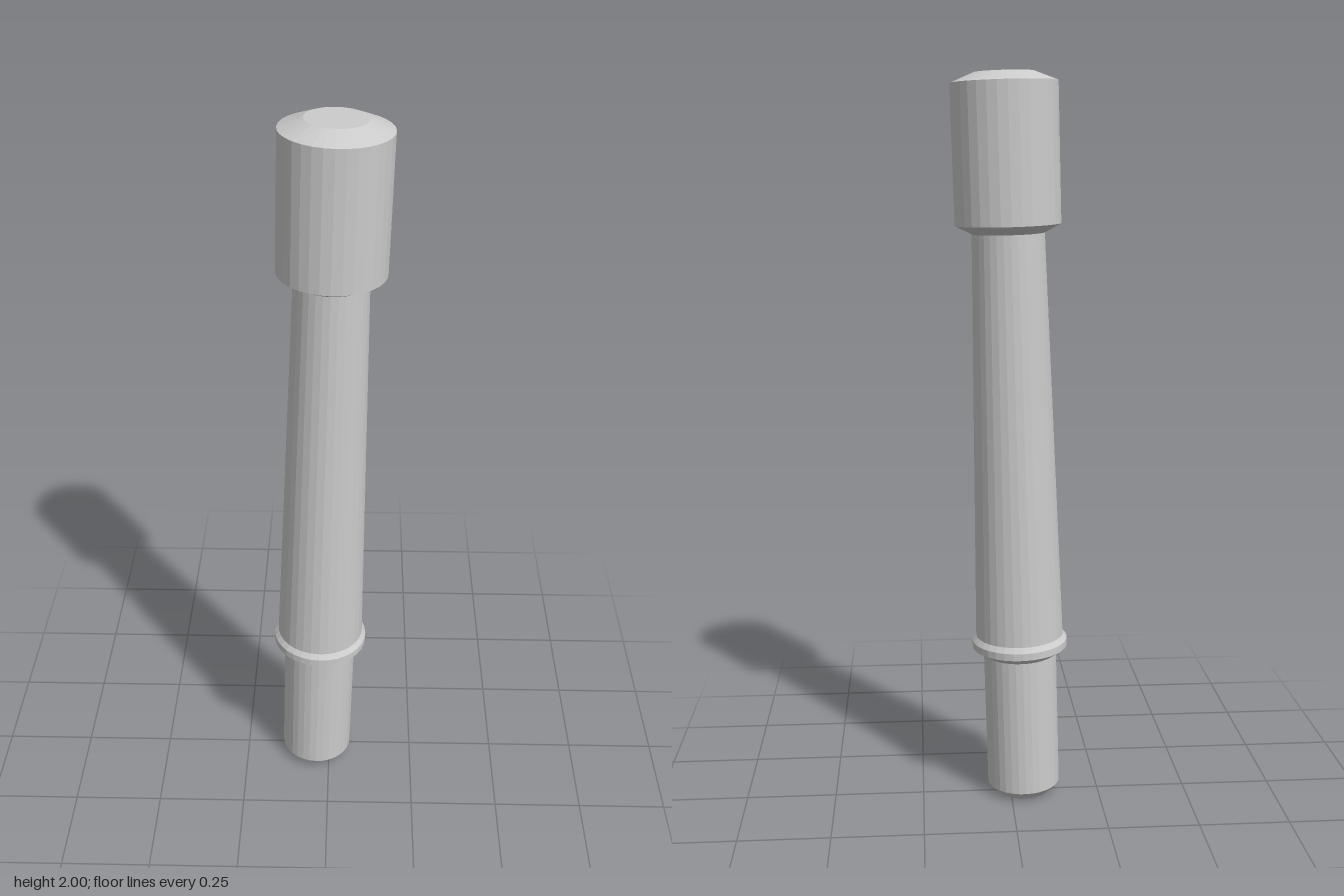
import * as THREE from 'three';

const material = new THREE.MeshStandardMaterial({ color: 0xcccccc, flatShading: true });

// Turned part from [radius, height] pairs, listed bottom to top
function turned(name, profile) {
  const points = profile.map(([r, y]) => new THREE.Vector2(r, y));
  const mesh = new THREE.Mesh(new THREE.LatheGeometry(points, 32), material);
  mesh.name = name;
  return mesh;
}

export function createModel() {
  const model = new THREE.Group();
  model.name = 'turnedPin';

  const pin = new THREE.Group();
  pin.name = 'leaningPin';
  pin.add(
    // Straight foot with a chamfered end
    turned('foot', [[0, 0], [0.077, 0], [0.102, 0.026], [0.102, 0.416]]),
    // Bead where the foot meets the shaft
    turned('ring', [[0.102, 0.416], [0.133, 0.437], [0.133, 0.457], [0.122, 0.471]]),
    // Shaft tapering upwards
    turned('shaft', [[0.122, 0.471], [0.097, 1.585]]),
    // Wide head, chamfered above and below
    turned('head', [[0.097, 1.585], [0.141, 1.608], [0.141, 1.971], [0.079, 1.996], [0, 1.996]])
  );

  // The whole pin leans slightly to its left and back
  const axis = new THREE.Vector3(0.0285, 1, -0.0072).normalize();
  pin.quaternion.setFromUnitVectors(new THREE.Vector3(0, 1, 0), axis);
  pin.position.set(-0.0395, 0.0023, 0.0125);

  model.add(pin);
  return model;
}
